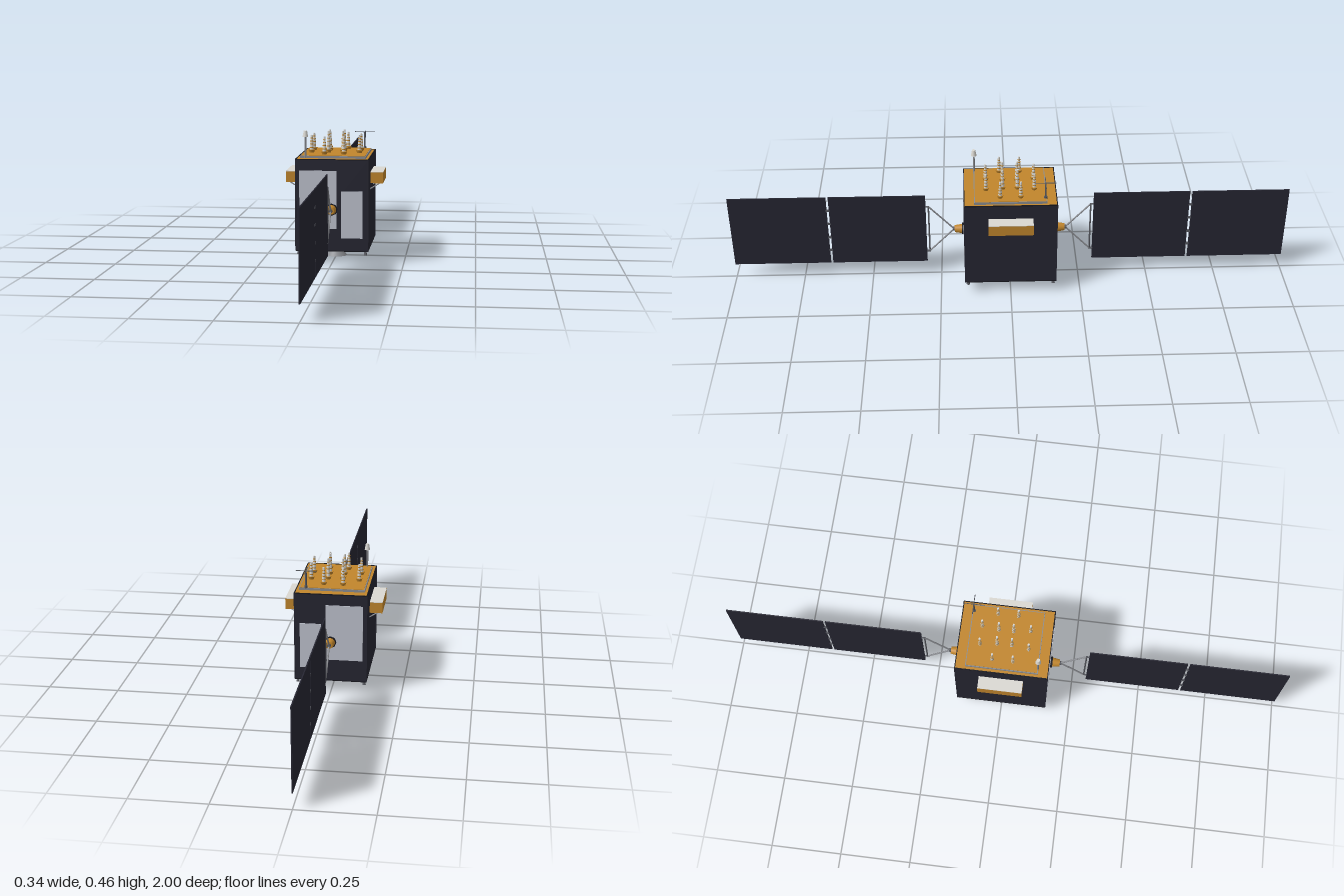
import * as THREE from 'three';

const mat = (name, color, side = THREE.FrontSide) => {
  const m = new THREE.MeshStandardMaterial({ color, side });
  m.name = name;
  return m;
};

export function createModel() {
  const root = new THREE.Group();
  root.name = 'satellite';
  const dark = mat('dark blanket', 0x262632);
  const black = mat('black trim', 0x17171e);
  const gold = mat('gold foil', 0xc1862c);
  const silver = mat('radiator silver', 0xbfc3ce);
  const white = mat('white', 0xdad8d2);
  const grey = mat('grey metal', 0x8b8d92, THREE.DoubleSide);
  const steel = mat('dark steel', 0x56585f);

  const add = (parent, name, geo, material, x = 0, y = 0, z = 0) => {
    const m = new THREE.Mesh(geo, material);
    m.name = name;
    m.position.set(x, y, z);
    parent.add(m);
    return m;
  };
  const box = (p, name, material, w, h, d, x, y, z) =>
    add(p, name, new THREE.BoxGeometry(w, h, d), material, x, y, z);
  const cyl = (p, name, material, rTop, rBottom, y0, y1, x = 0, z = 0, open = false, seg = 20) =>
    add(p, name, new THREE.CylinderGeometry(rTop, rBottom, y1 - y0, seg, 1, open), material, x, (y0 + y1) / 2, z);
  const rod = (p, name, material, a, b, r) => {
    const A = new THREE.Vector3(...a), B = new THREE.Vector3(...b);
    const m = add(p, name, new THREE.CylinderGeometry(r, r, A.distanceTo(B), 8), material);
    m.position.copy(A).add(B).multiplyScalar(0.5);
    m.quaternion.setFromUnitVectors(new THREE.Vector3(0, 1, 0), B.sub(A).normalize());
    return m;
  };

  // Body: dark sides, gold top and bottom
  const W = 0.126, D = 0.162, Y0 = 0.045, Y1 = 0.366;
  box(root, 'body', [dark, dark, gold, gold, dark, dark], W * 2, Y1 - Y0, D * 2, 0, (Y0 + Y1) / 2, 0);
  const trim = new THREE.Group();
  trim.name = 'edgeTrim';
  root.add(trim);
  for (const s of [-1, 1]) {
    for (const y of [Y0, Y1]) {
      box(trim, 'edgeRail', black, W * 2 + 0.004, 0.003, 0.003, 0, y, s * D);
      box(trim, 'edgeRail', black, 0.003, 0.003, D * 2, s * W, y, 0);
    }
    for (const t of [-1, 1]) box(trim, 'cornerRail', dark, 0.004, Y1 - Y0, 0.004, s * W, (Y0 + Y1) / 2, t * D);
  }

  // Radiator plates on the two wing faces
  for (const s of [-1, 1]) {
    box(root, 'largeRadiator', silver, 0.13, 0.203, 0.004, -0.048, 0.2255, s * (D + 0.001));
    box(root, 'smallRadiator', silver, 0.075, 0.165, 0.004, 0.0705, 0.1735, s * (D + 0.001));
  }

  // Raised antenna deck with a gold cover
  box(root, 'deck', grey, 0.23, 0.008, 0.254, 0, 0.37, 0);
  box(root, 'deckCover', gold, 0.224, 0.002, 0.248, 0, 0.3745, 0);

  // Stepped antennas: four tall inner ones, eight outer ones
  const antenna = (x, z, top) => {
    const g = new THREE.Group();
    g.name = 'deckAntenna';
    g.position.set(x, 0.375, z);
    root.add(g);
    cyl(g, 'antennaCup', gold, 0.012, 0.008, 0, 0.011);
    const h = top - 0.375, mid = 0.011 + (h - 0.011) * 0.55;
    cyl(g, 'lowerMast', white, 0.0055, 0.0065, 0.011, mid);
    cyl(g, 'upperMast', white, 0.0035, 0.0045, mid, h);
    for (const [f, r] of [[0.3, 0.0068], [0.5, 0.0062], [0.66, 0.0055], [0.82, 0.0046]])
      cyl(g, 'antennaRing', gold, r, r, h * f - 0.0015, h * f + 0.0015);
  };
  for (const sx of [-1, 1]) for (const sz of [-1, 1]) {
    antenna(sx * 0.026, sz * 0.026, 0.452);
    antenna(sx * 0.034, sz * 0.085, 0.438);
    antenna(sx * 0.085, sz * 0.036, 0.438);
  }

  // Corner masts: one with a white tip, one with crossed rods
  cyl(root, 'tipMast', grey, 0.0035, 0.0035, 0.366, 0.44, -0.096, 0.125);
  cyl(root, 'tipHorn', white, 0.006, 0.01, 0.44, 0.462, -0.096, 0.125);
  cyl(root, 'crossMast', steel, 0.003, 0.003, 0.366, 0.436, 0.091, -0.122);
  cyl(root, 'crossMastFoot', steel, 0.006, 0.006, 0.372, 0.381, 0.091, -0.122);
  rod(root, 'crossRod', steel, [0.054, 0.435, -0.122], [0.128, 0.435, -0.122], 0.0013);
  rod(root, 'crossRod', steel, [0.091, 0.435, -0.159], [0.091, 0.435, -0.085], 0.0013);

  // Side boxes on struts
  for (const s of [-1, 1]) {
    box(root, 'sideBox', gold, 0.045, 0.038, 0.156, s * 0.15, 0.293, 0);
    box(root, 'sideBoxLid', white, 0.045, 0.002, 0.156, s * 0.15, 0.313, 0);
    for (const z of [-0.06, 0.06])
      rod(root, 'boxStrut', grey, [s * 0.163, 0.275, z], [s * 0.125, 0.251, z], 0.0022);
  }

  // Underside: adapter ring, nozzle and corner thrusters
  cyl(root, 'adapterRing', grey, 0.098, 0.098, 0.031, 0.046, 0, 0, false, 48);
  cyl(root, 'nozzle', grey, 0.016, 0.037, 0, 0.032, 0, 0, true, 32);
  cyl(root, 'nozzleLining', mat('nozzle interior', 0x2c2d33, THREE.BackSide), 0.015, 0.036, 0.0005, 0.0315, 0, 0, true, 32);
  for (const sx of [-1, 1]) for (const sz of [-1, 1]) {
    const t = cyl(root, 'cornerThruster', steel, 0.0035, 0.006, 0.03, 0.046, sx * 0.117, sz * 0.152, false, 14);
    t.rotation.set(-sz * 0.15, 0, sx * 0.15);
  }

  // Solar wings, the second one mirrored by a half turn
  for (const s of [1, -1]) {
    const wing = new THREE.Group();
    wing.name = s > 0 ? 'frontWing' : 'backWing';
    wing.rotation.y = s > 0 ? 0 : Math.PI;
    root.add(wing);
    const hy = 0.192;
    rod(wing, 'hubFlange', black, [0, hy, 0.16], [0, hy, 0.172], 0.021);
    const drum = add(wing, 'hubDrum', new THREE.CylinderGeometry(0.0125, 0.017, 0.026, 24), gold, 0, hy, 0.185);
    drum.rotation.x = Math.PI / 2;
    rod(wing, 'hubCap', steel, [0, hy, 0.196], [0, hy, 0.205], 0.007);
    for (const y of [0.098, 0.288]) {
      rod(wing, 'wingArm', grey, [0, hy, 0.2], [0, y, 0.29], 0.003);
      rod(wing, 'armTip', steel, [0, y, 0.287], [0, y, 0.302], 0.003);
    }
    rod(wing, 'yokeBar', steel, [0, 0.096, 0.29], [0, 0.29, 0.29], 0.0028);
    box(wing, 'innerPanel', dark, 0.004, 0.28, 0.344, 0, 0.194, 0.472);
    box(wing, 'outerPanel', dark, 0.004, 0.28, 0.348, 0, 0.194, 0.826);
    for (const y of [0.11, 0.165, 0.223, 0.278])
      box(wing, 'panelHinge', steel, 0.005, 0.008, 0.014, 0, y, 0.648);
  }
  return root;
}
